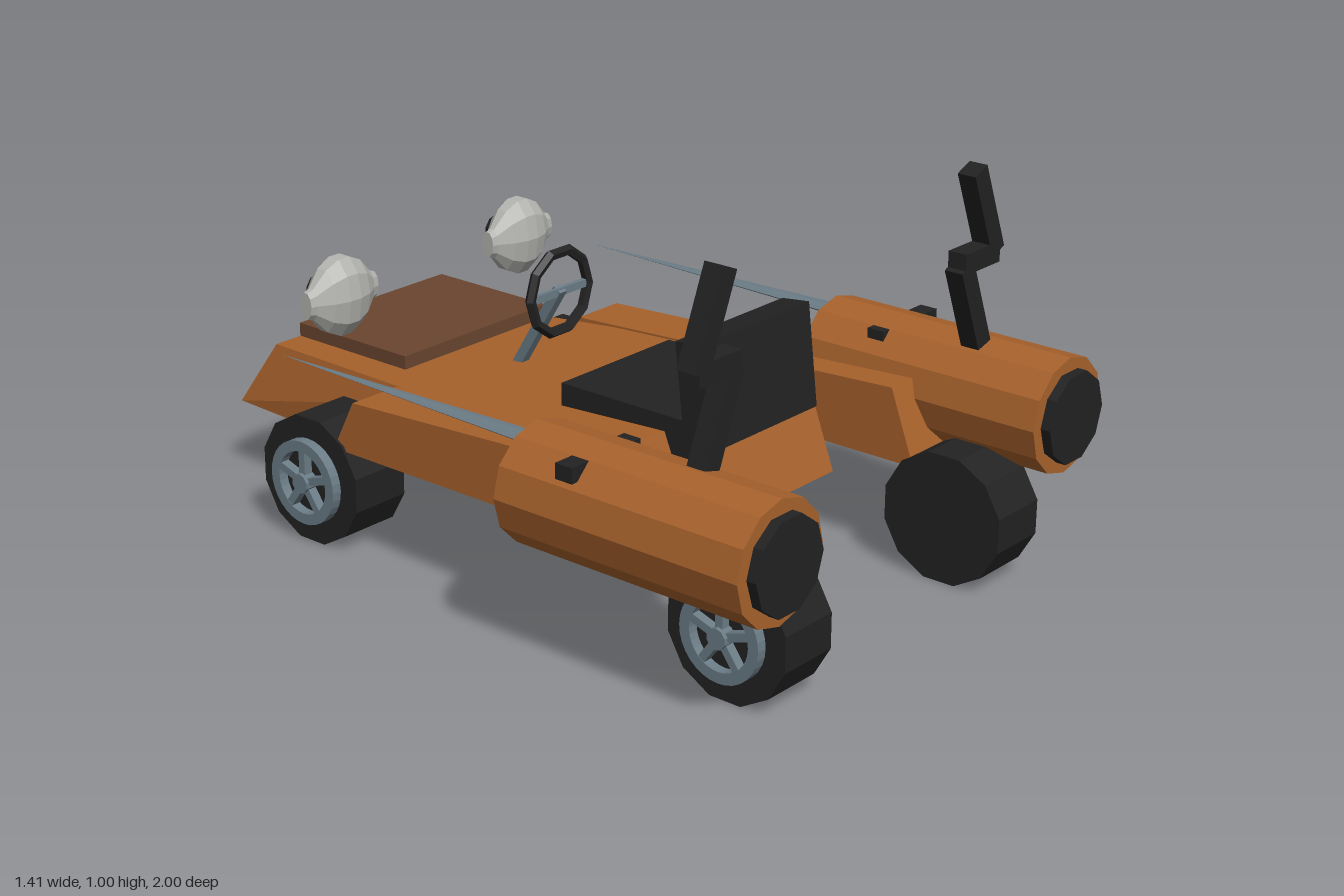
import * as THREE from 'three';

const mat = (name, color, side = THREE.FrontSide) => {
  const m = new THREE.MeshStandardMaterial({ color, flatShading: true, side });
  m.name = name;
  return m;
};

export function createModel() {
  const orange = mat('orange paint', 0xa8622c);
  const black = mat('black rubber', 0x222222);
  const steel = mat('blue grey steel', 0x6b7c86);
  const white = mat('pale grey', 0xb4b4b0);
  const brown = mat('brown panel', 0x6a452f);

  const model = new THREE.Group();
  model.name = 'kart';

  const add = (name, geo, material, x = 0, y = 0, z = 0, parent = model) => {
    const mesh = new THREE.Mesh(geo, material);
    mesh.name = name;
    mesh.position.set(x, y, z);
    parent.add(mesh);
    return mesh;
  };
  const box = (w, h, d) => new THREE.BoxGeometry(w, h, d);
  // Cylinder lying along z, first radius towards +z
  const barrel = (r1, r2, len, sides, turn = 0) =>
    new THREE.CylinderGeometry(r1, r2, len, sides).rotateY(turn).rotateX(Math.PI / 2);

  // Closed hull through four-cornered sections, ordered back to front
  const loft = (sections) => {
    const pos = [];
    const quad = (a, b, c, d) => pos.push(...a, ...b, ...c, ...a, ...c, ...d);
    for (let s = 0; s < sections.length - 1; s++) {
      const p = sections[s], q = sections[s + 1];
      for (let i = 0; i < 4; i++) {
        const j = (i + 1) % 4;
        quad(p[i], q[i], q[j], p[j]);
      }
    }
    const f = sections[0], l = sections[sections.length - 1];
    quad(f[0], f[1], f[2], f[3]);
    quad(l[3], l[2], l[1], l[0]);
    const g = new THREE.BufferGeometry();
    g.setAttribute('position', new THREE.Float32BufferAttribute(pos, 3));
    g.computeVertexNormals();
    return g;
  };
  const section = (zb, zt, wb, wt, yt) =>
    [[-wb, 0.2, zb], [wb, 0.2, zb], [wt, yt, zt], [-wt, yt, zt]];

  // Main body, nose towards -z
  add('body', loft([
    section(0.46, 0.36, 0.33, 0.34, 0.44),
    section(-0.18, -0.18, 0.345, 0.348, 0.41),
    section(-1.0, -0.9, 0.3, 0.26, 0.37),
  ]), orange);
  add('hoodPanel', box(0.52, 0.035, 0.38), brown, 0, 0.433, -0.617);

  // Seat
  add('seatBase', box(0.4, 0.095, 0.4), black, 0, 0.4325, 0.24);
  const back = add('seatBack', box(0.4, 0.26, 0.08), black, 0, 0.545, 0.445);
  back.rotation.x = -0.12;
  add('seatBackPanel', box(0.3, 0.17, 0.016), brown, 0, 0.01, -0.046, back);

  // Steering wheel and column
  const ring = new THREE.TorusGeometry(0.106, 0.014, 5, 10);
  add('steeringWheel', ring, black, 0, 0.617, -0.145);
  add('steeringCrossbar', box(0.2, 0.02, 0.012), steel, 0, 0.617, -0.145);
  const column = add('steeringColumn', box(0.026, 0.27, 0.026), steel, 0, 0.51, -0.213);
  column.rotation.x = Math.atan2(0.135, 0.22);

  // Side profile of the running pods beside the body
  const podProfile = new THREE.Shape([
    [-0.69, 0.27], [0.45, 0.27], [0.38, 0.405], [-0.62, 0.458],
  ].map(([a, b]) => new THREE.Vector2(a, b)));
  const fenderGeo = new THREE.ExtrudeGeometry(podProfile, { depth: 0.15, bevelEnabled: false })
    .rotateY(Math.PI / 2).translate(-0.075, 0, 0);

  // Wheel parts, outer face towards local +z
  const tireGeo = barrel(0.169, 0.169, 0.165, 12, Math.PI / 12);
  const rimShape = new THREE.Shape().absarc(0, 0, 0.11, 0, Math.PI * 2);
  rimShape.holes.push(new THREE.Path().absarc(0, 0, 0.082, 0, Math.PI * 2, true));
  const rimGeo = new THREE.ExtrudeGeometry(rimShape, { depth: 0.027, bevelEnabled: false, curveSegments: 16 });
  const addWheel = (name, side, z) => {
    const wheel = new THREE.Group();
    wheel.name = name;
    wheel.position.set(side * 0.412, 0.164, z);
    wheel.rotation.y = side * Math.PI / 2;
    model.add(wheel);
    add('tire', tireGeo, black, 0, 0, 0, wheel);
    add('rim', rimGeo, steel, 0, 0, 0.082, wheel);
    add('hub', barrel(0.026, 0.026, 0.036, 10), steel, 0, 0, 0.1, wheel);
    for (let i = 0; i < 5; i++) {
      const a = Math.PI / 2 + i * Math.PI * 2 / 5;
      const spoke = add('spoke', box(0.085, 0.02, 0.024), steel,
        Math.cos(a) * 0.05, Math.sin(a) * 0.05, 0.096, wheel);
      spoke.rotation.z = a;
    }
  };

  // Flattened many-sided lamp turned around the x axis
  const lampGeo = new THREE.LatheGeometry([
    [0, -0.115], [0.035, -0.115], [0.042, -0.097], [0.085, -0.058], [0.105, -0.018],
    [0.105, 0.018], [0.085, 0.058], [0.042, 0.097], [0.035, 0.115], [0, 0.115],
  ].map(([r, h]) => new THREE.Vector2(r, h)), 10).rotateZ(Math.PI / 2).scale(1, 1, 0.56);

  // Straight bar between two points in the x-y plane
  const bar = (name, side, x1, y1, x2, y2) => {
    const m = add(name, box(0.052, Math.hypot(x2 - x1, y2 - y1), 0.05), black,
      side * (x1 + x2) / 2, (y1 + y2) / 2, 0.733);
    m.rotation.z = -side * Math.atan2(x2 - x1, y2 - y1);
  };

  for (const side of [1, -1]) {
    const tag = side > 0 ? 'left' : 'right';
    add(tag + 'Fender', fenderGeo, orange, side * 0.413, 0, 0);
    addWheel(tag + 'WheelA', side, -0.535);
    addWheel(tag + 'WheelB', side, 0.782);

    // Engine barrel, nozzle and cross pin
    add(tag + 'Engine', barrel(0.147, 0.147, 0.685, 12), orange, side * 0.558, 0.413, 0.632);
    add(tag + 'Nozzle', barrel(0.116, 0.116, 0.04, 10, Math.PI / 10), black, side * 0.558, 0.413, 0.98);
    add(tag + 'EnginePin', box(0.228, 0.038, 0.048), black, side * 0.573, 0.521, 0.482);

    // Flat spike reaching towards the nose
    const spike = new THREE.ConeGeometry(0.034, 0.84, 8).rotateX(-Math.PI / 2).scale(1, 0.3, 1);
    add(tag + 'Spike', spike, steel, side * 0.572, 0.517, -0.12);

    // Zigzag exhaust
    bar('exhaustLower', side, 0.54, 0.5, 0.434, 0.765);
    bar('exhaustMiddle', side, 0.423, 0.775, 0.567, 0.775);
    bar('exhaustUpper', side, 0.56, 0.776, 0.47, 0.995);

    // Headlamp with a dark lens facing the nose
    add(tag + 'Lamp', lampGeo, white, side * 0.324, 0.593, -0.585);
    add(tag + 'Lens', barrel(0.052, 0.04, 0.04, 10), black, side * 0.324, 0.593, -0.645);
  }
  return model;
}
